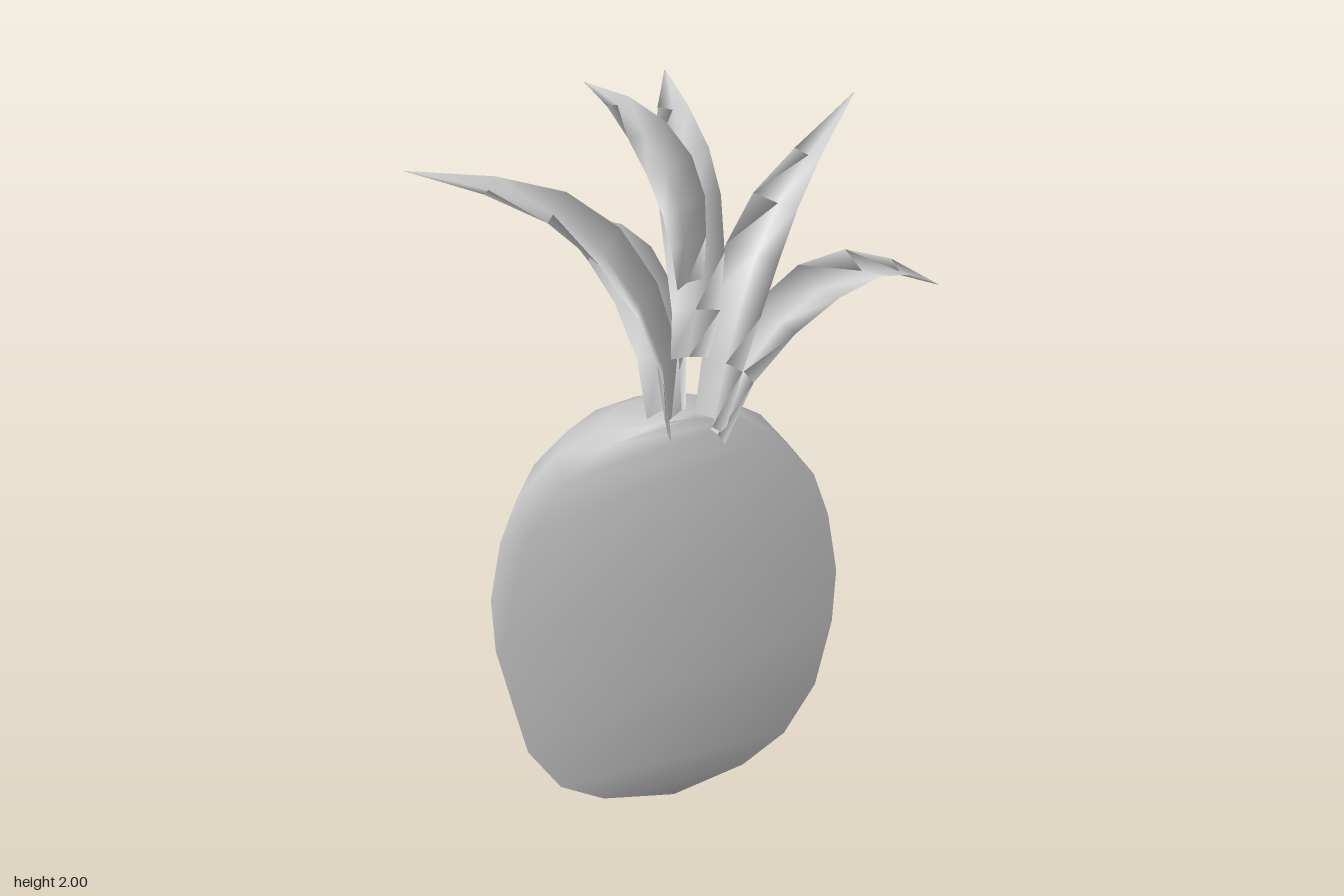
import * as THREE from 'three';

const grey = new THREE.MeshStandardMaterial({ color: 0xcccccc, side: THREE.DoubleSide });

function meshFrom(positions, index, name) {
  const geo = new THREE.BufferGeometry();
  geo.setAttribute('position', new THREE.Float32BufferAttribute(positions, 3));
  geo.setIndex(index);
  geo.computeVertexNormals();
  const mesh = new THREE.Mesh(geo, grey);
  mesh.name = name;
  return mesh;
}

// Half of a 16-sided fruit, closed by a flat cut facing +x +z
function halfFruit() {
  const profile = [ // radius, height
    [0, 0.003], [0.21, 0.05], [0.335, 0.13], [0.425, 0.28], [0.468, 0.49], [0.474, 0.66],
    [0.442, 0.85], [0.395, 0.99], [0.295, 1.125], [0.18, 1.205], [0.06, 1.235], [0, 1.24]];
  const sides = 8, row = sides + 1;
  const positions = [], index = [];
  for (const [radius, y] of profile) {
    for (let i = 0; i <= sides; i++) {
      const a = Math.PI * (0.75 + i / sides);
      const r = radius * (i === 0 || i === sides ? 0.955 : 1);
      positions.push(0.1 + r * Math.cos(a), y, 0.2 + r * Math.sin(a));
    }
  }
  for (let j = 0; j < profile.length - 1; j++) {
    for (let i = 0; i < row; i++) { // the last strip of each ring is the cut
      const a = j * row + i, b = j * row + (i + 1) % row;
      if (j > 0) index.push(a, a + row, b);
      if (j < profile.length - 2) index.push(b, a + row, b + row);
      else if (j === 0) index.push(a, a + row, b + row);
    }
  }
  // Close the bottom fan
  for (let i = 0; i < row; i++) index.push(0, row + i, row + (i + 1) % row);
  return meshFrom(positions, index, 'halfFruit');
}

// Curved leaf with a shallow V section, swept along a path to a point
function leaf(path, width, name) {
  const pts = path.map(p => new THREE.Vector3(...p));
  const curve = new THREE.CatmullRomCurve3(pts);
  const span = pts[pts.length - 1].clone().sub(pts[0]);
  const side = new THREE.Vector3(span.z, 0, -span.x).normalize();
  const widths = [0.6, 0.78, 0.95, 1, 0.85, 0.5, 0.01];
  const steps = widths.length - 1;
  const positions = [], index = [];
  widths.forEach((k, i) => {
    const p = curve.getPoint(i / steps);
    const up = curve.getTangent(i / steps).cross(side).normalize();
    const half = width * k / 2;
    // edge, trough, edge, keel
    for (const [s, u] of [[-1, 0.3], [0, 0], [1, 0.3], [0, -0.2]]) {
      const v = p.clone().addScaledVector(side, s * half).addScaledVector(up, u * half);
      positions.push(v.x, v.y, v.z);
    }
  });
  for (let j = 0; j < steps; j++) {
    for (let i = 0; i < 4; i++) {
      const a = j * 4 + i, b = j * 4 + (i + 1) % 4;
      index.push(a, b, a + 4, b, b + 4, a + 4);
    }
  }
  index.push(0, 3, 1, 1, 3, 2);
  return meshFrom(positions, index, name);
}

export function createModel() {
  const model = new THREE.Group();
  model.name = 'halfPineapple';
  model.add(halfFruit());

  const crown = new THREE.Group();
  crown.name = 'leafCrown';
  const leaves = [
    // lower pair, drooping at the tips
    [0.17, [[0.06, 1.21, 0.17], [0, 1.38, 0.09], [-0.1, 1.48, 0.01], [-0.22, 1.51, -0.07], [-0.34, 1.48, -0.17], [-0.465, 1.41, -0.265]]],
    [0.18, [[0.19, 1.19, 0.14], [0.23, 1.36, 0.04], [0.3, 1.46, -0.08], [0.38, 1.51, -0.2], [0.46, 1.49, -0.3], [0.55, 1.41, -0.41]]],
    // middle pair, long and arching
    [0.18, [[0.09, 1.21, 0.2], [0.06, 1.43, 0.2], [-0.03, 1.6, 0.195], [-0.16, 1.72, 0.2], [-0.32, 1.795, 0.25], [-0.545, 1.84, 0.32]]],
    [0.15, [[0.17, 1.2, 0.13], [0.19, 1.4, 0.08], [0.2, 1.54, 0.01], [0.21, 1.67, -0.1], [0.235, 1.76, -0.23], [0.26, 1.84, -0.51]]],
    // upper pair, starting above the fruit
    [0.15, [[0.12, 1.41, 0.16], [0.12, 1.55, 0.12], [0.08, 1.7, 0.06], [0.02, 1.8, -0.03], [-0.06, 1.87, -0.14], [-0.155, 1.915, -0.285]]],
    [0.14, [[0.11, 1.61, 0.15], [0.1, 1.74, 0.15], [0.07, 1.84, 0.135], [0, 1.92, 0.1], [-0.1, 1.975, 0.055], [-0.225, 2, 0.01]]],
  ];
  leaves.forEach(([width, path], i) => crown.add(leaf(path, width, `leaf${i + 1}`)));
  model.add(crown);
  return model;
}
